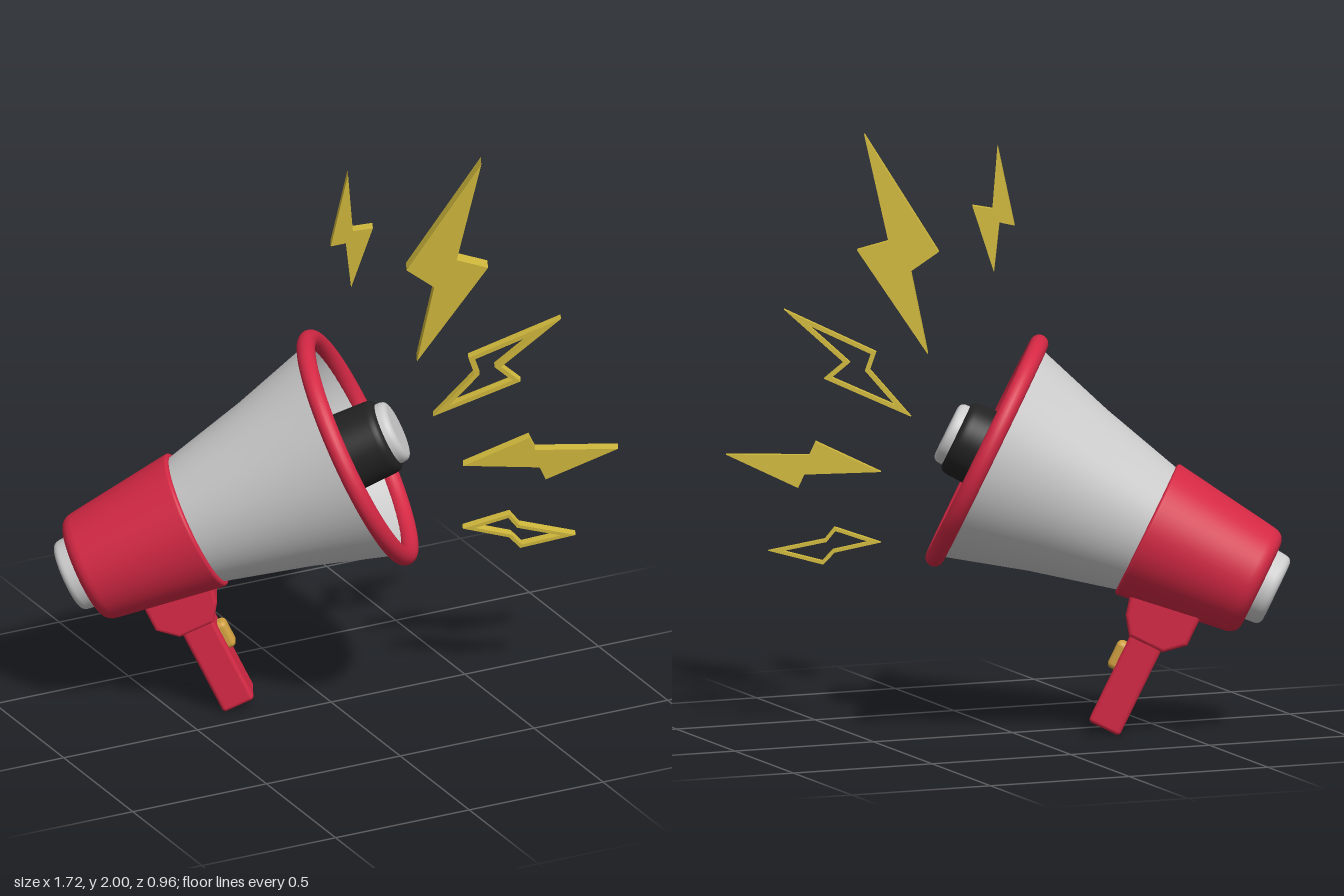
import * as THREE from 'three';
import { RoundedBoxGeometry } from 'three/addons/geometries/RoundedBoxGeometry.js';

const mat = (color) => new THREE.MeshStandardMaterial({ color, side: THREE.DoubleSide });
const RED = mat(0xd42844), GREY = mat(0xcccccc), BLACK = mat(0x222222), YELLOW = mat(0xd0b83c), AMBER = mat(0xd0a040);

function add(parent, name, geometry, material) {
  const mesh = new THREE.Mesh(geometry, material);
  mesh.name = name;
  parent.add(mesh);
  return mesh;
}

// Solid of revolution about local x; each profile point is [along, radius, corner rounding]
function turned(profile) {
  const pts = [];
  profile.forEach(([t, r, round], i) => {
    const p = new THREE.Vector2(r, t);
    if (!round) return pts.push(p);
    const toward = (q) => {
      const d = new THREE.Vector2(q[1], q[0]).sub(p);
      return d.setLength(Math.min(round, d.length() * 0.49)).add(p);
    };
    const a = toward(profile[i - 1]), b = toward(profile[i + 1]);
    pts.push(...new THREE.QuadraticBezierCurve(a, p, b).getPoints(6));
  });
  return new THREE.LatheGeometry(pts, 64).rotateZ(-Math.PI / 2);
}

// Outline moved inwards by w with mitred corners
function inset(pts, w) {
  const sign = Math.sign(THREE.ShapeUtils.area(pts));
  const n = pts.length;
  return pts.map((p, i) => {
    const a = p.clone().sub(pts[(i + n - 1) % n]).normalize();
    const b = pts[(i + 1) % n].clone().sub(p).normalize();
    const na = new THREE.Vector2(-a.y, a.x).multiplyScalar(sign);
    const nb = new THREE.Vector2(-b.y, b.x).multiplyScalar(sign);
    return na.clone().add(nb).multiplyScalar(w / (1 + na.dot(nb))).add(p);
  });
}

// Bolts all lie in one upright plane, given by its slopes in x and y
const SLOPE_X = 0.47, SLOPE_Y = 0.063, OFFSET = -0.027;
function bolt(coords, depth, frame) {
  const pts = coords.map(([x, y]) => new THREE.Vector2(x, y));
  const shape = new THREE.Shape(pts);
  if (frame) shape.holes.push(new THREE.Path(inset(pts, frame)));
  const geo = new THREE.ExtrudeGeometry(shape, { depth, bevelEnabled: false }).translate(0, 0, -depth / 2);
  const m = new THREE.Matrix4().makeBasis(
    new THREE.Vector3(1, 0, SLOPE_X),
    new THREE.Vector3(0, 1, SLOPE_Y),
    new THREE.Vector3(-SLOPE_X, -SLOPE_Y, 1).normalize()
  ).setPosition(0, 0, OFFSET);
  return geo.applyMatrix4(m);
}

export function createModel() {
  const model = new THREE.Group();

  // Megaphone: local x runs along the horn, y is its upper side, origin at the rim centre
  const horn = new THREE.Group();
  horn.name = 'megaphone';
  const axis = new THREE.Vector3(0.805, 0.435, 0.403).normalize();
  const side = new THREE.Vector3(-axis.z, 0, axis.x).normalize();
  const up = side.clone().cross(axis);
  horn.quaternion.setFromRotationMatrix(new THREE.Matrix4().makeBasis(axis, up, side));
  horn.position.set(0.06, 0.945, 0.075);
  model.add(horn);

  // Bell: thin flared shell
  add(horn, 'bell', turned([[-0.62, 0.218], [-0.3, 0.298], [0, 0.388]]), GREY);
  add(horn, 'bellLining', turned([[0, 0.375], [-0.3, 0.285], [-0.58, 0.21], [-0.581, 0.208], [-0.581, 0]]), GREY);
  add(horn, 'rim', new THREE.TorusGeometry(0.395, 0.031, 20, 72).rotateY(Math.PI / 2), RED);

  // Rear housing and end cap
  add(horn, 'housing', turned([
    [-1.015, 0], [-1.015, 0.184, 0.045], [-0.59, 0.242, 0.012], [-0.585, 0.2]
  ]), RED);
  add(horn, 'rearCap', turned([[-1.07, 0], [-1.07, 0.122, 0.025], [-0.98, 0.13]]), GREY);

  // Inner horn with its front cap
  add(horn, 'innerHorn', turned([[-0.58, 0.155], [0.115, 0.128, 0.03], [0.115, 0]]), BLACK);
  add(horn, 'frontCap', turned([[0.08, 0.108], [0.15, 0.106, 0.025], [0.15, 0]]), GREY);

  // Grip mount: bevelled trapezoid under the housing
  const mountShape = new THREE.Shape([
    [-0.87, -0.12], [-0.87, -0.275], [-0.815, -0.325], [-0.7, -0.325], [-0.665, -0.275], [-0.625, -0.12]
  ].map(([x, y]) => new THREE.Vector2(x, y)));
  const mountGeo = new THREE.ExtrudeGeometry(mountShape, {
    depth: 0.13, bevelSize: 0.012, bevelThickness: 0.018, bevelSegments: 3
  }).translate(0, 0, -0.08);
  add(horn, 'gripMount', mountGeo, RED);

  // Grip and trigger
  add(horn, 'grip', new RoundedBoxGeometry(0.115, 0.43, 0.12, 4, 0.014), RED).position.set(-0.755, -0.443, -0.02);
  add(horn, 'trigger', new RoundedBoxGeometry(0.05, 0.1, 0.06, 4, 0.018), AMBER).position.set(-0.695, -0.42, -0.02);

  // Sound bolts: outline, thickness, frame width (0 = solid)
  const bolts = [
    ['smallTopBolt', [[0.01, 1.965], [-0.035, 1.7], [0.01, 1.71], [0.03, 1.545], [0.09, 1.765], [0.03, 1.755]], 0.04, 0],
    ['largeBolt', [[0.41, 2], [0.195, 1.61], [0.28, 1.545], [0.235, 1.27], [0.44, 1.615], [0.345, 1.645]], 0.055, 0],
    ['largeHollowBolt', [[0.665, 1.415], [0.39, 1.275], [0.41, 1.215], [0.29, 1.06], [0.55, 1.185], [0.49, 1.24]], 0.035, 0.014],
    ['sideBolt', [[0.385, 0.875], [0.58, 0.975], [0.6, 0.93], [0.85, 0.93], [0.635, 0.82], [0.615, 0.865]], 0.04, 0],
    ['smallHollowBolt', [[0.39, 0.64], [0.53, 0.69], [0.56, 0.65], [0.73, 0.61], [0.565, 0.565], [0.53, 0.605]], 0.035, 0.011]
  ];
  for (const [name, pts, depth, frame] of bolts) add(model, name, bolt(pts, depth, frame), YELLOW);

  return model;
}
